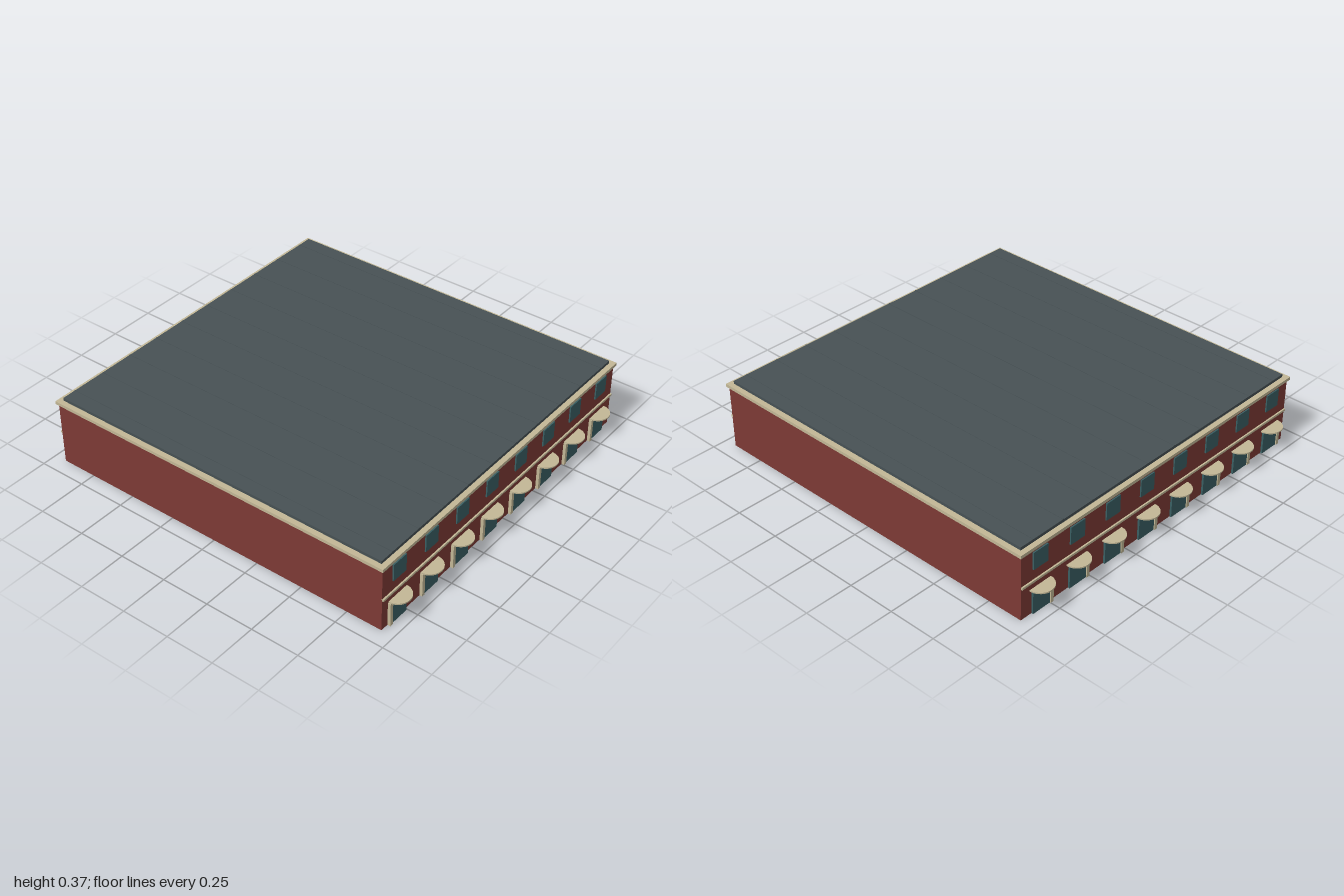
import * as THREE from 'three';

const mat = (color) => new THREE.MeshStandardMaterial({ color, roughness: 0.9, flatShading: true });

export function createModel() {
  const brick = mat(0x7d3a35), stone = mat(0xc2b796), slate = mat(0x475154), glass = mat(0x3a5f63);
  const root = new THREE.Group();
  root.name = 'rowBuilding';

  // Box given by its lower and upper corners
  const box = (parent, name, material, [x0, y0, z0], [x1, y1, z1]) => {
    const m = new THREE.Mesh(new THREE.BoxGeometry(x1 - x0, y1 - y0, z1 - z0), material);
    m.position.set((x0 + x1) / 2, (y0 + y1) / 2, (z0 + z1) / 2);
    m.name = name;
    parent.add(m);
    return m;
  };

  // Main volume, cornice and roof slab
  box(root, 'brickBody', brick, [-0.92, 0, -0.934], [0.92, 0.337, 0.934]);
  box(root, 'cornice', stone, [-0.931, 0.335, -0.944], [0.931, 0.351, 0.944]);
  box(root, 'roof', slate, [-0.904, 0.351, -0.917], [0.904, 0.366, 0.917]);

  // Raised roof seams running front to back
  for (let i = 0; i < 10; i++) {
    const x = (i - 4.5) * 0.184;
    box(root, 'roofSeam', slate, [x - 0.002, 0.365, -0.917], [x + 0.002, 0.368, 0.917]);
  }

  // Same facade parts at both ends; side is the sign of z
  for (const side of [1, -1]) {
    const facade = new THREE.Group();
    facade.name = side > 0 ? 'frontFacade' : 'backFacade';
    root.add(facade);
    const plate = (name, material, x0, x1, y0, y1, depth) => {
      const z = [side * 0.93, side * depth].sort((a, b) => a - b);
      return box(facade, name, material, [x0, y0, z[0]], [x1, y1, z[1]]);
    };
    plate('beltCourse', stone, -0.92, 0.92, 0.164, 0.175, 0.942);

    for (let i = 0; i < 8; i++) {
      const x = (i - 3.5) * 0.23;
      plate('upperWindow', glass, x - 0.045, x + 0.045, 0.23, 0.32, 0.941);
      plate('door', glass, x - 0.055, x + 0.05, 0, 0.124, 0.944);
      plate('doorPilaster', stone, x - 0.073, x - 0.055, 0, 0.124, 0.949);

      // Half-round canopy slab over the door
      const canopy = new THREE.Mesh(
        new THREE.CylinderGeometry(0.065, 0.065, 0.007, 24, 1, false, -Math.PI / 2, Math.PI), stone);
      canopy.position.set(x - 0.004, 0.1265, side * 0.934);
      canopy.rotation.y = side > 0 ? 0 : Math.PI;
      canopy.name = 'doorCanopy';
      facade.add(canopy);
    }
  }
  return root;
}
